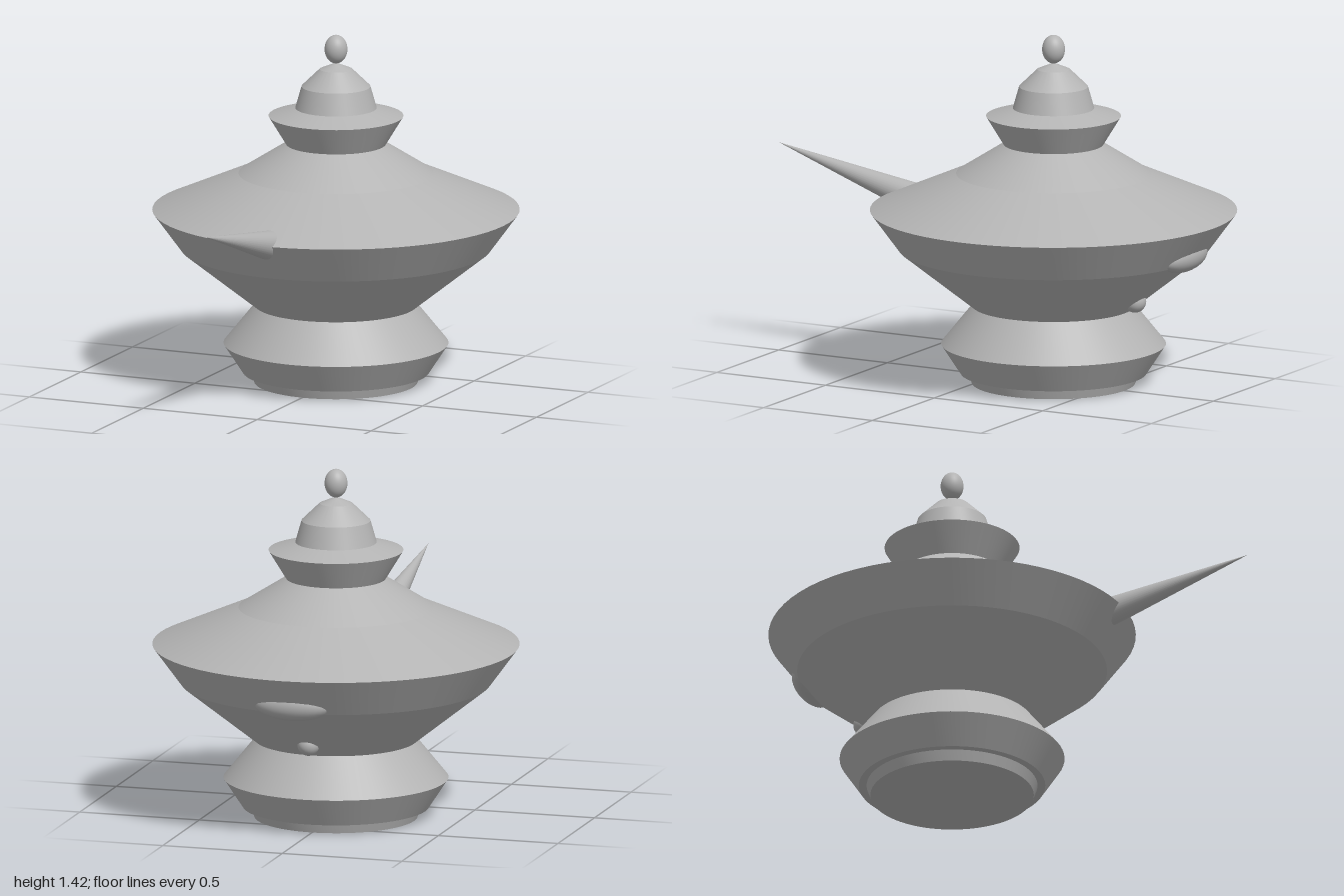
import * as THREE from 'three';
import { toCreasedNormals } from 'three/addons/utils/BufferGeometryUtils.js';

export function createModel() {
  const group = new THREE.Group();
  group.name = 'teapot';
  const clay = new THREE.MeshStandardMaterial({ color: 0xb4b4b4 });
  clay.name = 'grey clay';
  const axisZ = -0.265; // the pot's turning axis sits behind the centre

  function add(name, geometry, x, y, z) {
    const mesh = new THREE.Mesh(geometry, clay);
    mesh.name = name;
    mesh.position.set(x, y, z);
    group.add(mesh);
    return mesh;
  }

  // Turned parts: smooth around the axis, creased along the profile
  function turned(name, profile) {
    const points = profile.map(([r, y]) => new THREE.Vector2(r, y));
    return add(name, toCreasedNormals(new THREE.LatheGeometry(points, 72), 0.1), 0, 0, axisZ);
  }

  turned('foot', [[0, 0], [0.327, 0], [0.342, 0.042], [0, 0.042]]);
  turned('base', [[0, 0.042], [0.373, 0.042], [0.45, 0.16], [0.325, 0.315]]);
  turned('body', [[0.325, 0.315], [0.62, 0.548], [0.735, 0.705], [0.39, 0.855], [0.2, 0.975]]);
  turned('collar', [[0.2, 0.975], [0.27, 1.09], [0.163, 1.122]]);
  turned('lid', [[0.163, 1.122], [0.138, 1.21], [0.066, 1.28], [0, 1.308]]);

  // Egg-shaped knob on the lid
  add('knob', new THREE.SphereGeometry(1, 32, 20), 0, 1.362, axisZ).scale.set(0.046, 0.058, 0.046);

  // Straight pointed spout, running from inside the body to its tip
  const tip = new THREE.Vector3(0, 0.85, 1);
  const direction = new THREE.Vector3(0, 0.26, 1).normalize();
  const length = 0.7;
  const spout = add('spout', new THREE.ConeGeometry(0.066, length, 32), 0, 0, 0);
  spout.quaternion.setFromUnitVectors(new THREE.Vector3(0, 1, 0), direction);
  spout.position.copy(tip).addScaledVector(direction, -length / 2);

  // Handle stubs barely showing through the back of the body
  add('upperHandleStub', new THREE.SphereGeometry(1, 32, 20), 0, 0.58, -0.862).scale.set(0.16, 0.065, 0.065);
  add('lowerHandleStub', new THREE.SphereGeometry(0.045, 24, 16), 0, 0.37, -0.64);

  return group;
}
